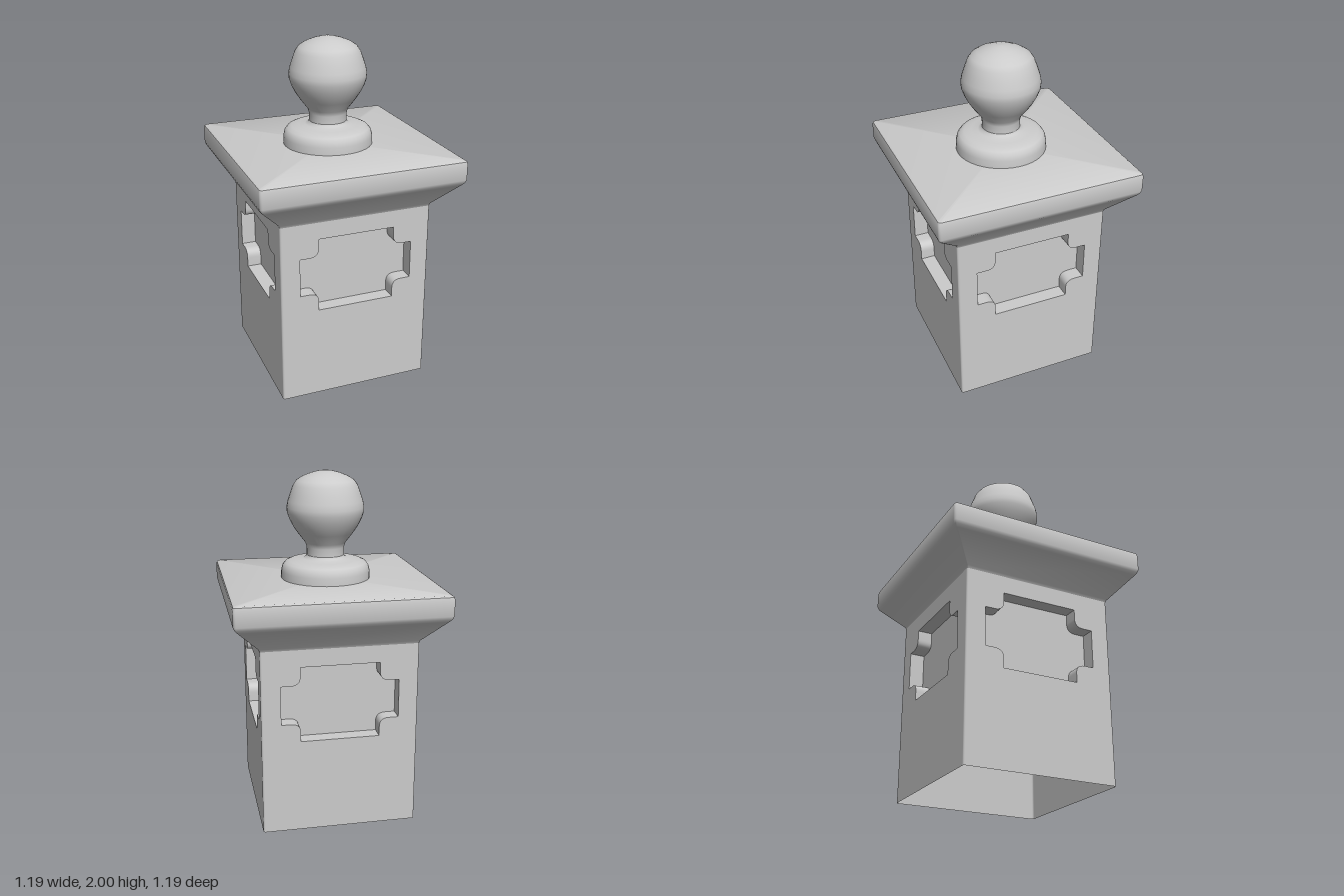
import * as THREE from 'three';
import { toCreasedNormals } from 'three/addons/utils/BufferGeometryUtils.js';

const material = new THREE.MeshStandardMaterial({ color: 0xcccccc, side: THREE.DoubleSide });

const HALF = 0.447;    // half width of the post
const EDGE = 0.012;    // rounding of its vertical edges
const NECK_Y = 1.09;   // where the post meets the cap
const DEPTH = 0.085;   // depth of the recessed panels

function mesh(name, geometry) {
  const m = new THREE.Mesh(geometry, material);
  m.name = name;
  return m;
}

// Joins closed loops of points into one surface
function skin(loops, crease) {
  const n = loops[0].length;
  const index = [];
  for (let j = 0; j < loops.length - 1; j++) {
    for (let i = 0; i < n; i++) {
      const a = j * n + i, b = j * n + (i + 1) % n;
      index.push(a, a + n, b, b, a + n, b + n);
    }
  }
  const geometry = new THREE.BufferGeometry().setFromPoints(loops.flat());
  geometry.setIndex(index);
  return toCreasedNormals(geometry, crease);
}

// Horizontal square loop with rounded corners
function squareLoop(half, radius, y) {
  const points = [];
  for (let c = 0; c < 4; c++) {
    const mid = (c + 0.5) * Math.PI / 2;
    const cx = Math.sign(Math.cos(mid)) * (half - radius);
    const cz = Math.sign(Math.sin(mid)) * (half - radius);
    for (let k = 0; k <= 4; k++) {
      const a = (c + k / 4) * Math.PI / 2;
      points.push(new THREE.Vector3(cx + radius * Math.cos(a), y, cz + radius * Math.sin(a)));
    }
  }
  return points;
}

// Panel outline: a rectangle whose corners are notched with a soft inner curve
function panelOutline() {
  const curve = new THREE.QuadraticBezierCurve(
    new THREE.Vector2(0.28, 0.113), new THREE.Vector2(0.225, 0.113), new THREE.Vector2(0.225, 0.165));
  const quarter = [new THREE.Vector2(0.335, 0.113), ...curve.getPoints(8), new THREE.Vector2(0.225, 0.22)];
  const flip = (pts, sx, sy) => pts.map(p => new THREE.Vector2(p.x * sx, p.y * sy));
  const back = [...quarter].reverse();
  return [...quarter, ...flip(back, -1, 1), ...flip(quarter, -1, -1), ...flip(back, 1, -1)]
    .map(p => new THREE.Vector2(p.x, p.y + 0.77));
}

// One side of the post with its recessed panel
function createSide() {
  const side = new THREE.Group();
  side.name = 'postSide';
  const outline = panelOutline();
  const w = HALF - EDGE;

  const face = new THREE.Shape([
    new THREE.Vector2(-w, 0), new THREE.Vector2(w, 0),
    new THREE.Vector2(w, NECK_Y), new THREE.Vector2(-w, NECK_Y)]);
  face.holes.push(new THREE.Path(outline));
  const wall = mesh('wall', new THREE.ShapeGeometry(face));
  wall.position.z = HALF;

  const floor = mesh('panelFloor', new THREE.ShapeGeometry(new THREE.Shape(outline)));
  floor.position.z = HALF - DEPTH;

  const loopAt = z => outline.map(p => new THREE.Vector3(p.x, p.y, z));
  const rim = mesh('panelRim', skin([loopAt(HALF - DEPTH), loopAt(HALF)], 0.6));

  // Rounded vertical edge beside the wall
  const edge = mesh('postEdge',
    new THREE.CylinderGeometry(EDGE, EDGE, NECK_Y, 4, 1, true, 0, Math.PI / 2));
  edge.position.set(w, NECK_Y / 2, w);

  side.add(wall, floor, rim, edge);
  return side;
}

export function createModel() {
  const model = new THREE.Group();
  model.name = 'gatePost';

  // Hollow post, open underneath
  for (let i = 0; i < 4; i++) {
    const side = createSide();
    side.rotation.y = i * Math.PI / 2;
    model.add(side);
  }

  // Flared cap: half width, corner radius, height
  const capProfile = [
    [0.447, 0.012, 1.09], [0.453, 0.012, 1.105], [0.575, 0.014, 1.24], [0.588, 0.015, 1.256],
    [0.595, 0.015, 1.275], [0.595, 0.015, 1.365], [0.591, 0.015, 1.38], [0.58, 0.012, 1.387],
    [0, 0, 1.387]];
  model.add(mesh('cap', skin(capProfile.map(p => squareLoop(...p)), 0.7)));

  // Turned base and ball finial
  const basePoints = [
    [0.258, 1.385], [0.257, 1.43], [0.25, 1.458], [0.235, 1.477], [0.21, 1.488],
    [0.17, 1.494], [0.13, 1.5], [0.114, 1.508], [0.108, 1.52]];
  const ballPoints = [
    [0.108, 1.52], [0.108, 1.565], [0.117, 1.592], [0.16, 1.648], [0.185, 1.685], [0.206, 1.725],
    [0.22, 1.765], [0.222, 1.795], [0.215, 1.83], [0.2, 1.875], [0.184, 1.918], [0.165, 1.945],
    [0.13, 1.967], [0.085, 1.985], [0.04, 1.997], [0, 2]];
  const lathe = pts => new THREE.LatheGeometry(pts.map(p => new THREE.Vector2(...p)), 40);
  model.add(mesh('finialBase', lathe(basePoints)), mesh('finialBall', lathe(ballPoints)));

  return model;
}
